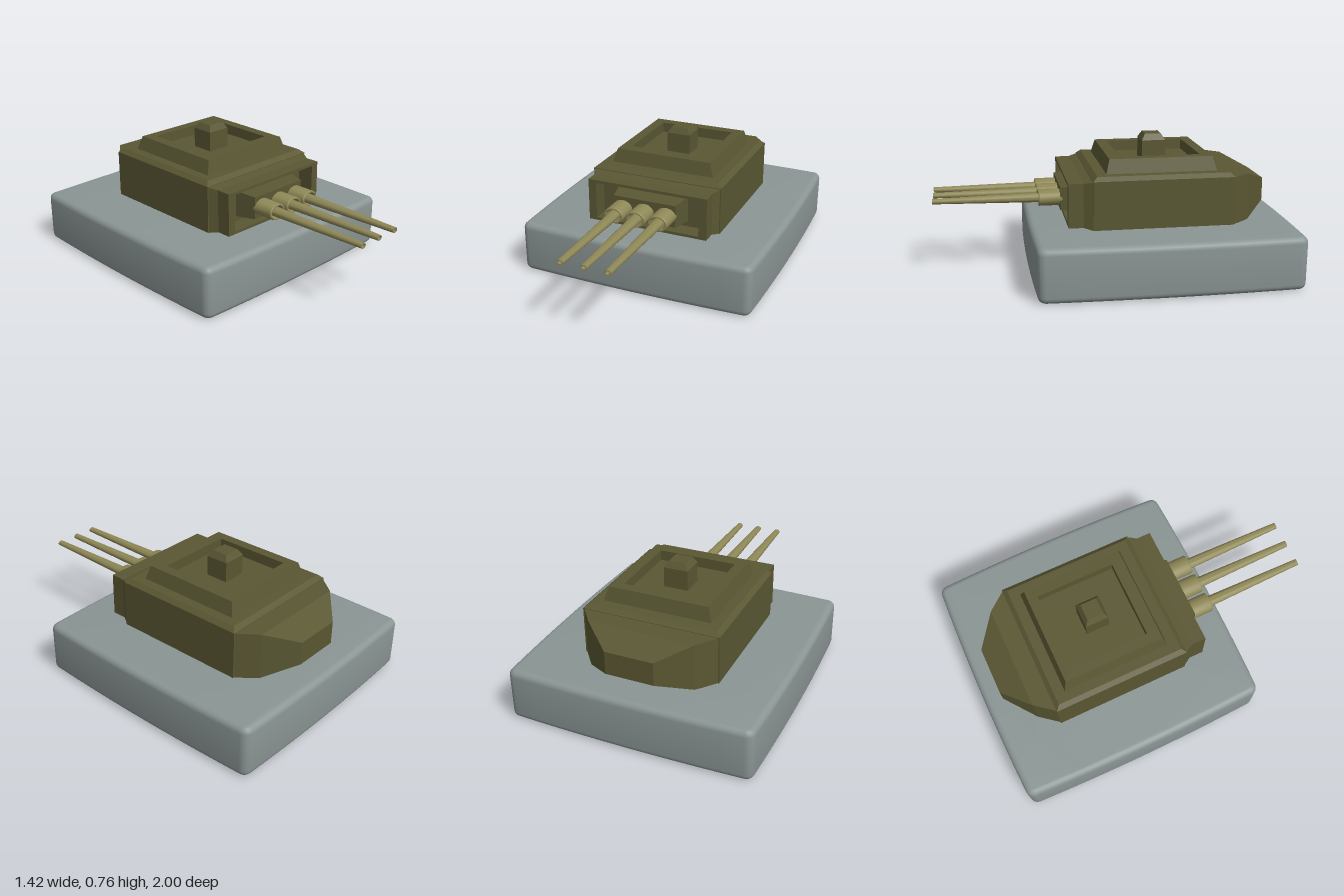
import * as THREE from 'three';
import { toCreasedNormals } from 'three/addons/utils/BufferGeometryUtils.js';

const armour = new THREE.MeshStandardMaterial({ color: 0x5a5733, flatShading: true });
const gunMetal = new THREE.MeshStandardMaterial({ color: 0x8e8756 });
const stone = new THREE.MeshStandardMaterial({ color: 0x8a9594 });

const CX = 0.0075; // turret centre line

// Skin rectangular sections [halfWidth, b0, b1, z] and cap both ends.
// Doubling back towards lower z with smaller sections makes a recess.
function loft(sections) {
  const pos = [], index = [];
  const quad = (a, b, c, d) => index.push(a, b, c, a, c, d);
  for (const [w, b0, b1, z] of sections) {
    pos.push(CX - w, b0, z, CX + w, b0, z, CX + w, b1, z, CX - w, b1, z);
  }
  quad(3, 2, 1, 0);
  for (let i = 0; i < sections.length - 1; i++) {
    for (let j = 0; j < 4; j++) {
      const k = (j + 1) % 4, a = i * 4, b = a + 4;
      quad(a + j, a + k, b + k, b + j);
    }
  }
  const e = (sections.length - 1) * 4;
  quad(e, e + 1, e + 2, e + 3);
  const geo = new THREE.BufferGeometry();
  geo.setAttribute('position', new THREE.Float32BufferAttribute(pos, 3));
  geo.setIndex(index);
  const flat = geo.toNonIndexed();
  flat.computeVertexNormals();
  return flat;
}

// Same, stacked upwards from sections [halfWidth, zBack, zFront, y].
const stack = (sections) =>
  loft(sections.map(([w, z0, z1, y]) => [w, -z1, -z0, y])).rotateX(-Math.PI / 2);

// Softly bulging slab with rounded edges
function baseGeometry() {
  const s = new THREE.Shape();
  s.moveTo(-0.65, -0.725);
  s.quadraticCurveTo(0, -0.755, 0.65, -0.725);
  s.quadraticCurveTo(0.695, -0.72, 0.695, -0.67);
  s.quadraticCurveTo(0.725, 0, 0.695, 0.67);
  s.quadraticCurveTo(0.695, 0.72, 0.65, 0.725);
  s.quadraticCurveTo(0, 0.755, -0.65, 0.725);
  s.quadraticCurveTo(-0.695, 0.72, -0.695, 0.67);
  s.quadraticCurveTo(-0.725, 0, -0.695, -0.67);
  s.quadraticCurveTo(-0.695, -0.72, -0.65, -0.725);
  const r = 0.035;
  const geo = new THREE.ExtrudeGeometry(s, {
    depth: 0.298 - 2 * r, bevelThickness: r, bevelSize: r, bevelOffset: -r,
    bevelSegments: 5, curveSegments: 10,
  });
  geo.rotateX(-Math.PI / 2).translate(0, r, -0.26);
  return toCreasedNormals(geo, 0.7);
}

// Sleeve with a hollow mouth, tapering barrel and bored muzzle
function gunGeometry() {
  const profile = [
    [0, 0.25], [0.058, 0.25], [0.058, 0.41], [0.054, 0.415], [0.046, 0.415],
    [0.036, 0.37], [0.033, 0.37], [0.032, 0.43], [0.019, 1], [0.012, 1],
    [0.012, 0.95], [0, 0.95],
  ].map(([r, y]) => new THREE.Vector2(r, y));
  const geo = new THREE.LatheGeometry(profile, 24).rotateX(Math.PI / 2).scale(1, 0.8, 1);
  return toCreasedNormals(geo, 0.6);
}

export function createModel() {
  const model = new THREE.Group();
  model.name = 'gunTurret';
  const add = (name, geo, mat = armour) => {
    const mesh = new THREE.Mesh(geo, mat);
    mesh.name = name;
    model.add(mesh);
    return mesh;
  };

  add('base', baseGeometry(), stone);

  // Main housing with chamfered roof edge
  add('turretBody', stack([
    [0.392, -0.652, 0.137, 0.29], [0.392, -0.652, 0.137, 0.57], [0.366, -0.627, 0.111, 0.592],
  ]));

  // Roof hatch coaming with a sunken floor
  add('roofDeck', stack([
    [0.311, -0.568, 0.053, 0.585], [0.311, -0.568, 0.053, 0.592], [0.287, -0.546, 0.033, 0.67],
    [0.228, -0.488, -0.034, 0.67], [0.228, -0.488, -0.034, 0.61],
  ]));

  add('cupola', stack([
    [0.07, -0.325, -0.19, 0.6], [0.07, -0.325, -0.19, 0.725], [0.048, -0.304, -0.211, 0.76],
  ]));

  // Faceted rear overhang
  add('rearBustle', loft([
    [0.137, 0.365, 0.497, -0.893], [0.3, 0.3, 0.565, -0.757], [0.39, 0.295, 0.567, -0.645],
  ]));

  // Open frame around the guns
  add('frontFrame', loft([
    [0.39, 0.295, 0.568, 0.13], [0.36, 0.308, 0.556, 0.185], [0.36, 0.308, 0.556, 0.268],
    [0.313, 0.324, 0.54, 0.268], [0.313, 0.324, 0.54, 0.17],
  ]));

  add('mantlet', loft([[0.212, 0.354, 0.506, 0.165], [0.187, 0.366, 0.496, 0.295]]));

  // Three guns side by side
  const gun = gunGeometry();
  for (const i of [-1, 0, 1]) {
    add('gun', gun, gunMetal).position.set(CX + i * 0.132, 0.43, 0);
  }
  return model;
}
